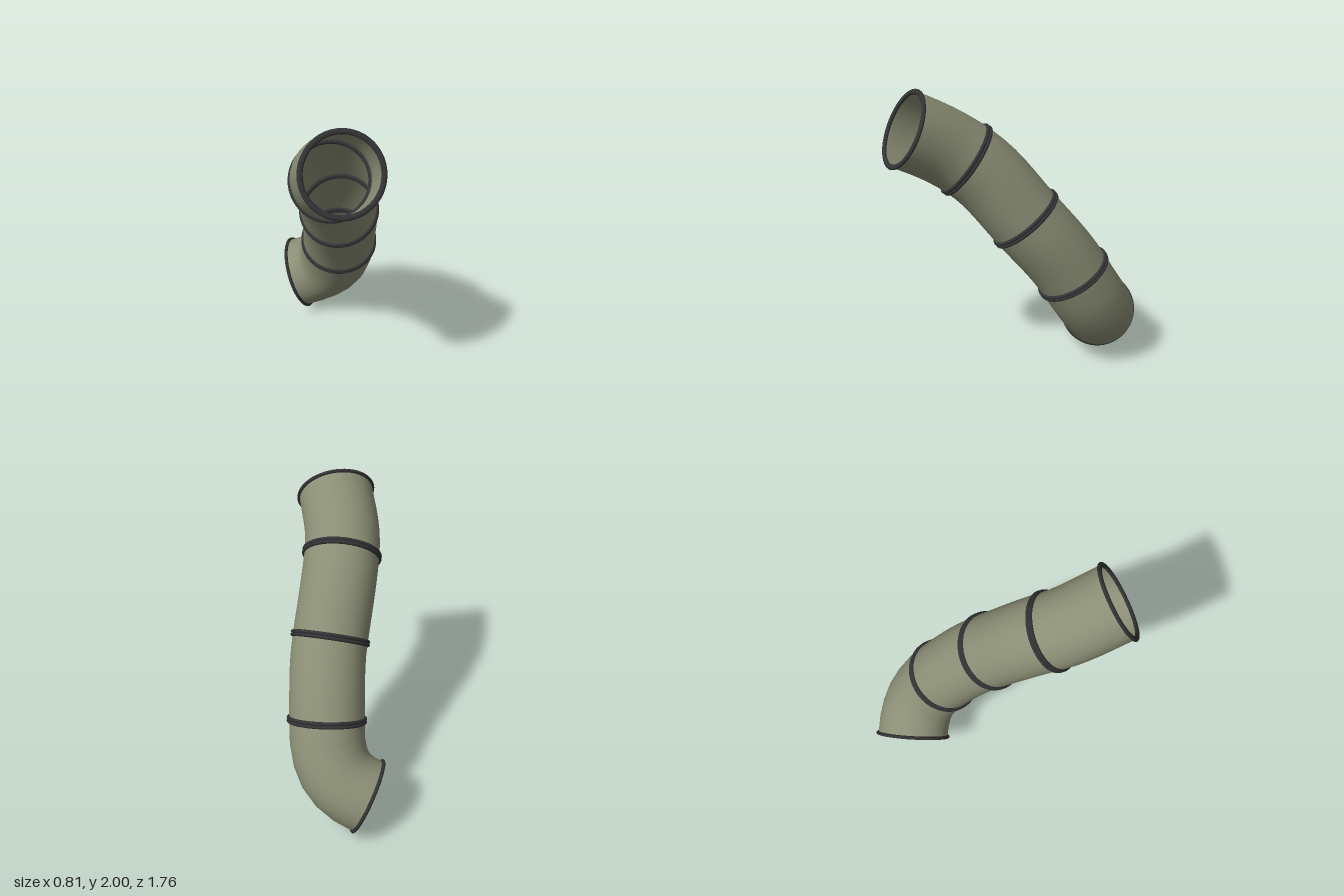
import * as THREE from 'three';

const V = (x, y, z) => new THREE.Vector3(x, y, z);
const PIPE_R = 0.25;
const SIDES = 40;
const Z = V(0, 0, 1);

// Joints from the upper mouth to the lower one: centre and direction of travel
const JOINTS = [
  { p: V(-0.15, 1.763, 0.757), d: V(0.03, -0.44, -0.9) },
  { p: V(-0.107, 1.52, 0.355), d: V(0.26, -0.6, -0.77) },
  { p: V(0.045, 1.105, 0.005), d: V(0.27, -0.77, -0.58) },
  { p: V(0.134, 0.68, -0.31), d: V(0.13, -0.86, -0.5) },
  { p: V(-0.073, 0.247, -0.635), d: V(-0.85, -0.37, -0.37) },
];
JOINTS.forEach((j) => j.d.normalize());

// Open round pipe lofted along a curve
function pipeGeometry(curve, steps) {
  const pos = [], index = [];
  const t = curve.getTangent(0);
  const q = new THREE.Quaternion().setFromUnitVectors(Z, t);
  for (let j = 0; j <= steps; j++) {
    const next = curve.getTangent(j / steps);
    q.premultiply(new THREE.Quaternion().setFromUnitVectors(t, next));
    t.copy(next);
    const c = curve.getPoint(j / steps);
    for (let i = 0; i < SIDES; i++) {
      const a = (i / SIDES) * Math.PI * 2;
      const v = V(Math.cos(a) * PIPE_R, Math.sin(a) * PIPE_R, 0).applyQuaternion(q).add(c);
      pos.push(v.x, v.y, v.z);
      if (j < steps) {
        const k = j * SIDES + i, n = j * SIDES + ((i + 1) % SIDES);
        index.push(k, n, k + SIDES, n, n + SIDES, k + SIDES);
      }
    }
  }
  const g = new THREE.BufferGeometry();
  g.setAttribute('position', new THREE.Float32BufferAttribute(pos, 3));
  g.setIndex(index);
  g.computeVertexNormals();
  return g;
}

export function createModel() {
  const group = new THREE.Group();
  group.name = 'bentDuct';
  const pipeMat = new THREE.MeshStandardMaterial({ color: 0x8b8e75, side: THREE.DoubleSide });
  const ringMat = new THREE.MeshStandardMaterial({ color: 0x333335 });

  // Pipe sections, the last one a tight elbow
  for (let i = 0; i < JOINTS.length - 1; i++) {
    const a = JOINTS[i], b = JOINTS[i + 1];
    const elbow = i === JOINTS.length - 2;
    const len = a.p.distanceTo(b.p);
    const h0 = elbow ? 0.3 : len * 0.36;
    const h1 = elbow ? 0.22 : len * 0.36;
    const curve = new THREE.CubicBezierCurve3(
      a.p, a.p.clone().addScaledVector(a.d, h0), b.p.clone().addScaledVector(b.d, -h1), b.p);
    const pipe = new THREE.Mesh(pipeGeometry(curve, 6), pipeMat);
    pipe.name = elbow ? 'elbowPipe' : `pipeSection${i + 1}`;
    group.add(pipe);
  }

  // Rims: one ring at each mouth, a pair at each joint between sections
  const ringGeo = new THREE.TorusGeometry(0.248, 0.018, 12, 48);
  ringGeo.scale(1, 1, 0.7);
  JOINTS.forEach((j, i) => {
    const mouth = i === 0 || i === JOINTS.length - 1;
    const joint = new THREE.Group();
    joint.name = mouth ? (i ? 'lowerMouthRim' : 'upperMouthRim') : `jointRings${i}`;
    joint.position.copy(j.p);
    joint.quaternion.setFromUnitVectors(Z, j.d);
    for (const off of mouth ? [0] : [-0.011, 0.011]) {
      const ring = new THREE.Mesh(ringGeo, ringMat);
      ring.name = 'ring';
      ring.position.z = off;
      joint.add(ring);
    }
    group.add(joint);
  });

  return group;
}
